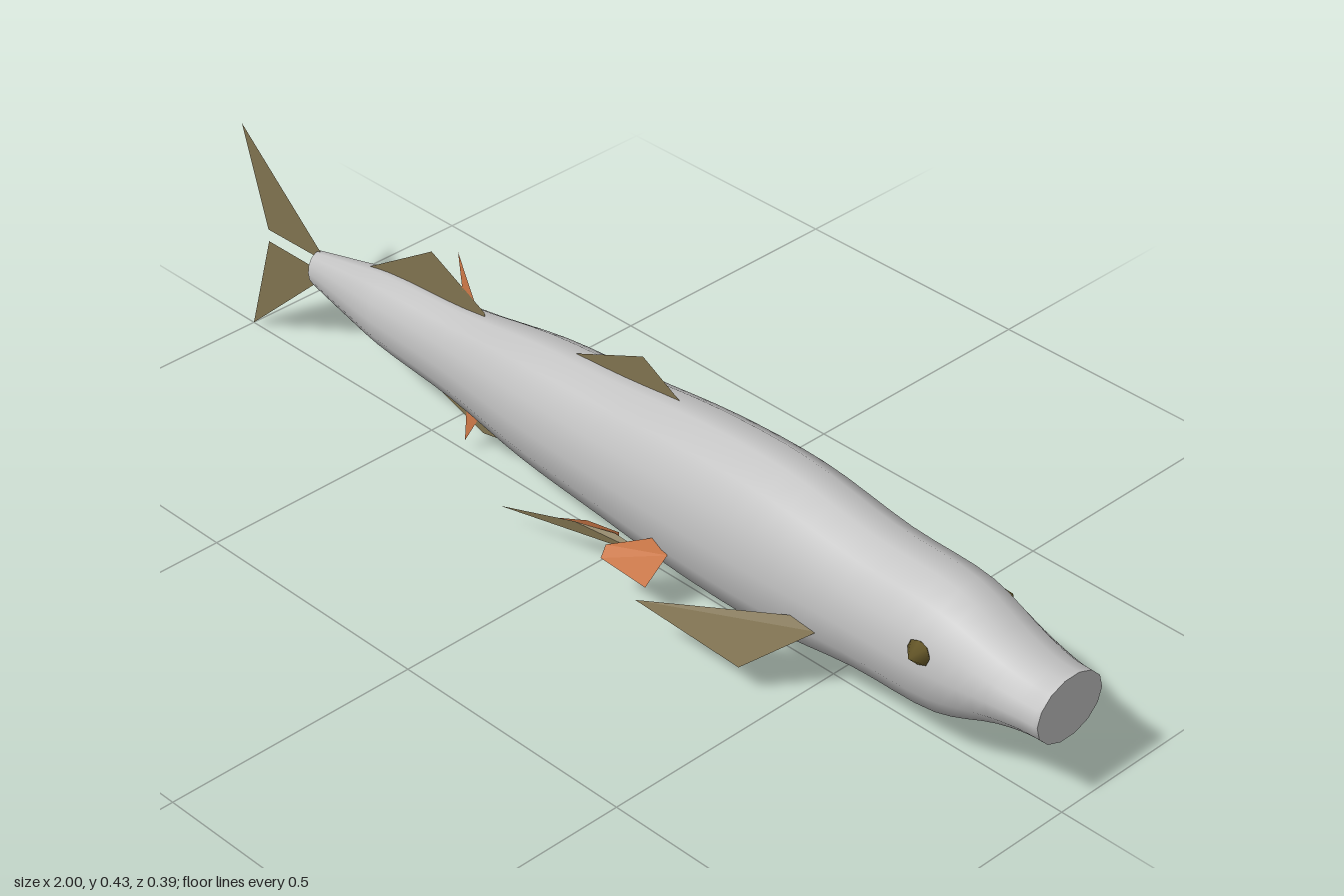
import * as THREE from 'three';

const SIDES = 14, STEPS = 4;

// Stations along the body: x, top, bottom, half width
const STATIONS = [
  [-0.8, 0.245, 0.175, 0.025], [-0.7, 0.268, 0.155, 0.04], [-0.6, 0.289, 0.138, 0.055],
  [-0.4, 0.305, 0.118, 0.065], [-0.2, 0.337, 0.09, 0.09], [0, 0.353, 0.073, 0.102],
  [0.2, 0.374, 0.055, 0.111], [0.4, 0.376, 0.053, 0.113], [0.6, 0.345, 0.08, 0.107],
  [0.78, 0.334, 0.088, 0.103], [0.9, 0.287, 0.137, 0.087], [0.96, 0.272, 0.15, 0.079],
  [1, 0.271, 0.151, 0.077],
];

// Smooth sections: profile curves give centre, height and width
function bodySections() {
  const curve = (k) => new THREE.CatmullRomCurve3(
    STATIONS.map((s) => new THREE.Vector3(s[0], s[k], 0)), false, 'centripetal');
  const [top, bottom, width] = [1, 2, 3].map(curve);
  const n = (STATIONS.length - 1) * STEPS;
  return Array.from({ length: n + 1 }, (_, i) => {
    const t = top.getPoint(i / n), b = bottom.getPoint(i / n), w = width.getPoint(i / n);
    return { x: t.x, cy: (t.y + b.y) / 2, ry: (t.y - b.y) / 2 / 0.975, rz: w.y };
  });
}

function ringPoint(s, j) {
  const a = ((j + 0.5) / SIDES) * Math.PI * 2;
  return [s.x, s.cy + s.ry * Math.cos(a), s.rz * Math.sin(a)];
}

function bodyGeometry(sections) {
  const pos = [], index = [], row = SIDES;
  sections.forEach((s) => {
    for (let j = 0; j < SIDES; j++) pos.push(...ringPoint(s, j));
  });
  for (let i = 0; i < sections.length - 1; i++) {
    for (let j = 0; j < SIDES; j++) {
      const k = (j + 1) % SIDES;
      const a = i * row + j, b = i * row + k, c = a + row, d = b + row;
      index.push(a, c, b, b, c, d);
    }
  }
  const g = new THREE.BufferGeometry();
  g.setAttribute('position', new THREE.Float32BufferAttribute(pos, 3));
  g.setIndex(index);
  g.computeVertexNormals();
  return g;
}

// Flat sheet through a few corner points, as a fan
function sheet(points) {
  const pos = [];
  for (let i = 1; i < points.length - 1; i++) pos.push(...points[0], ...points[i], ...points[i + 1]);
  const g = new THREE.BufferGeometry();
  g.setAttribute('position', new THREE.Float32BufferAttribute(pos, 3));
  g.computeVertexNormals();
  return g;
}

export function createModel() {
  const material = (name, color, side = THREE.FrontSide) => {
    const m = new THREE.MeshStandardMaterial({ color, side });
    m.name = name;
    return m;
  };
  const skin = material('silver skin', 0xc4c4c4, THREE.DoubleSide);
  const fin = material('olive fin', 0x80724f, THREE.DoubleSide);
  const accent = material('orange fin', 0xd07a48, THREE.DoubleSide);
  const eyeMat = material('eye', 0x6b5c2b);

  const group = new THREE.Group();
  group.name = 'fish';
  const add = (name, geometry, mat) => {
    const mesh = new THREE.Mesh(geometry, mat);
    mesh.name = name;
    group.add(mesh);
    return mesh;
  };

  // Body with flat ends at snout and tail
  const sections = bodySections();
  add('body', bodyGeometry(sections), skin);
  const ends = { snoutEnd: sections[sections.length - 1], tailEnd: sections[0] };
  for (const [name, s] of Object.entries(ends)) {
    const pts = Array.from({ length: SIDES }, (_, j) => ringPoint(s, j));
    add(name, sheet(name === 'tailEnd' ? pts.reverse() : pts), skin);
  }

  // Fins on the centre plane
  const medianFins = [
    ['upperTailFin', fin, [[-0.79, 0.232], [-0.79, 0.245], [-1, 0.43], [-0.94, 0.23]]],
    ['lowerTailFin', fin, [[-0.79, 0.19], [-0.79, 0.205], [-0.94, 0.205], [-1, 0]]],
    ['frontDorsalFin', fin, [[-0.14, 0.335], [0.045, 0.415], [0.135, 0.367], [0.15, 0.33]]],
    ['rearDorsalFin', fin, [[-0.66, 0.275], [-0.485, 0.385], [-0.35, 0.32], [-0.34, 0.28]]],
    ['analFin', fin, [[-0.62, 0.15], [-0.36, 0.062], [-0.22, 0.09], [-0.3, 0.14]]],
    ['upperFinlet', accent, [[-0.4, 0.29], [-0.395, 0.36], [-0.415, 0.415], [-0.37, 0.32], [-0.36, 0.29]]],
    ['lowerFinlet', accent, [[-0.4, 0.13], [-0.395, 0.07], [-0.41, 0.022], [-0.37, 0.09], [-0.36, 0.13]]],
  ];
  for (const [name, mat, pts] of medianFins) add(name, sheet(pts.map(([x, y]) => [x, y, 0])), mat);

  // Paired fins and eyes
  const pairedFins = [
    ['PectoralFin', fin, [[0.55, 0.165, 0.098], [0.505, 0.175, 0.1], [0.23, 0.11, 0.197], [0.44, 0.068, 0.165]]],
    ['SideFinlet', accent, [[0.205, 0.138, 0.098], [0.175, 0.16, 0.1], [0.095, 0.122, 0.135],
      [0.095, 0.1, 0.147], [0.185, 0.077, 0.13]]],
    ['PelvicFin', fin, [[0.145, 0.09, 0.075], [0.06, 0.1, 0.08], [-0.02, 0.094, 0.1], [-0.185, 0.052, 0.12]]],
    ['PelvicFinlet', accent, [[0.07, 0.107, 0.08], [0, 0.1, 0.088], [-0.08, 0.065, 0.088], [0.06, 0.085, 0.07]]],
  ];
  for (const [side, m] of [['left', 1], ['right', -1]]) {
    // Facing +x from +z: the two flanks mirror across the centre plane
    for (const [name, mat, pts] of pairedFins) {
      add(side + name, sheet(pts.map(([x, y, z]) => [x, y, -m * z])), mat);
    }
    const eye = add(side + 'Eye', new THREE.SphereGeometry(0.024, 8, 2).rotateX(Math.PI / 2), eyeMat);
    eye.position.set(0.77, 0.245, -m * 0.1);
  }
  return group;
}
